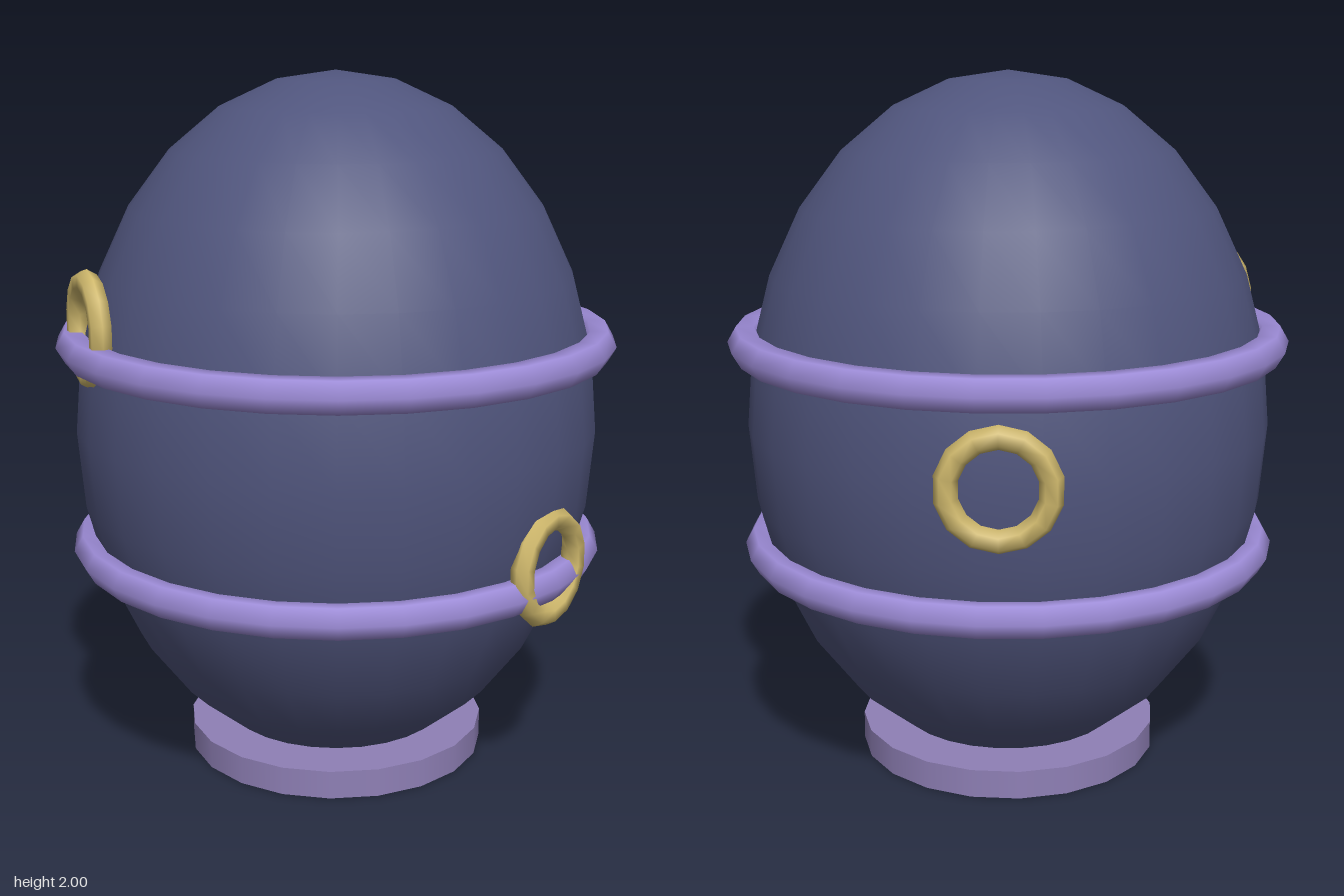
import * as THREE from 'three';

const shellColor = new THREE.MeshStandardMaterial({ name: 'shellIndigo', color: 0x50557d });
const bandColor = new THREE.MeshStandardMaterial({ name: 'bandLavender', color: 0x9c8bd6 });
const baseColor = new THREE.MeshStandardMaterial({ name: 'baseMauve', color: 0x8f80b6 });
const goldColor = new THREE.MeshStandardMaterial({ name: 'hoopGold', color: 0xcfb86c });

export function createModel() {
  const model = new THREE.Group();
  model.name = 'bandedEgg';
  const add = (name, geometry, material) => {
    const mesh = new THREE.Mesh(geometry, material);
    mesh.name = name;
    model.add(mesh);
    return mesh;
  };

  // Egg body: a sphere stretched upward
  const body = new THREE.SphereGeometry(1, 28, 14).scale(0.755, 1, 0.755);
  add('eggBody', body, shellColor).position.y = 1;

  // Flat round foot; the egg's tip ends just inside it
  add('base', new THREE.CylinderGeometry(0.44, 0.44, 0.082, 20), baseColor).position.y = 0.039;

  // Two horizontal bands around the body
  for (const [name, radius, y] of [['upperBand', 0.755, 1.245], ['lowerBand', 0.725, 0.645]]) {
    const band = new THREE.TorusGeometry(radius, 0.05, 6, 28).rotateX(Math.PI / 2);
    add(name, band, bandColor).position.y = y;
  }

  // Three gold hoops, a third of a turn apart, each lying upright on the surface
  const hoop = new THREE.TorusGeometry(0.135, 0.032, 6, 14).rotateZ(Math.PI / 2);
  for (const [name, degrees, distance, y] of [
    ['frontHoop', -30, 0.727, 1.315],
    ['sideHoop', 90, 0.733, 0.695],
    ['backHoop', 210, 0.77, 1.005],
  ]) {
    const angle = THREE.MathUtils.degToRad(degrees);
    const mesh = add(name, hoop, goldColor);
    mesh.position.set(Math.sin(angle) * distance, y, Math.cos(angle) * distance);
    mesh.rotation.y = angle;
  }

  return model;
}
